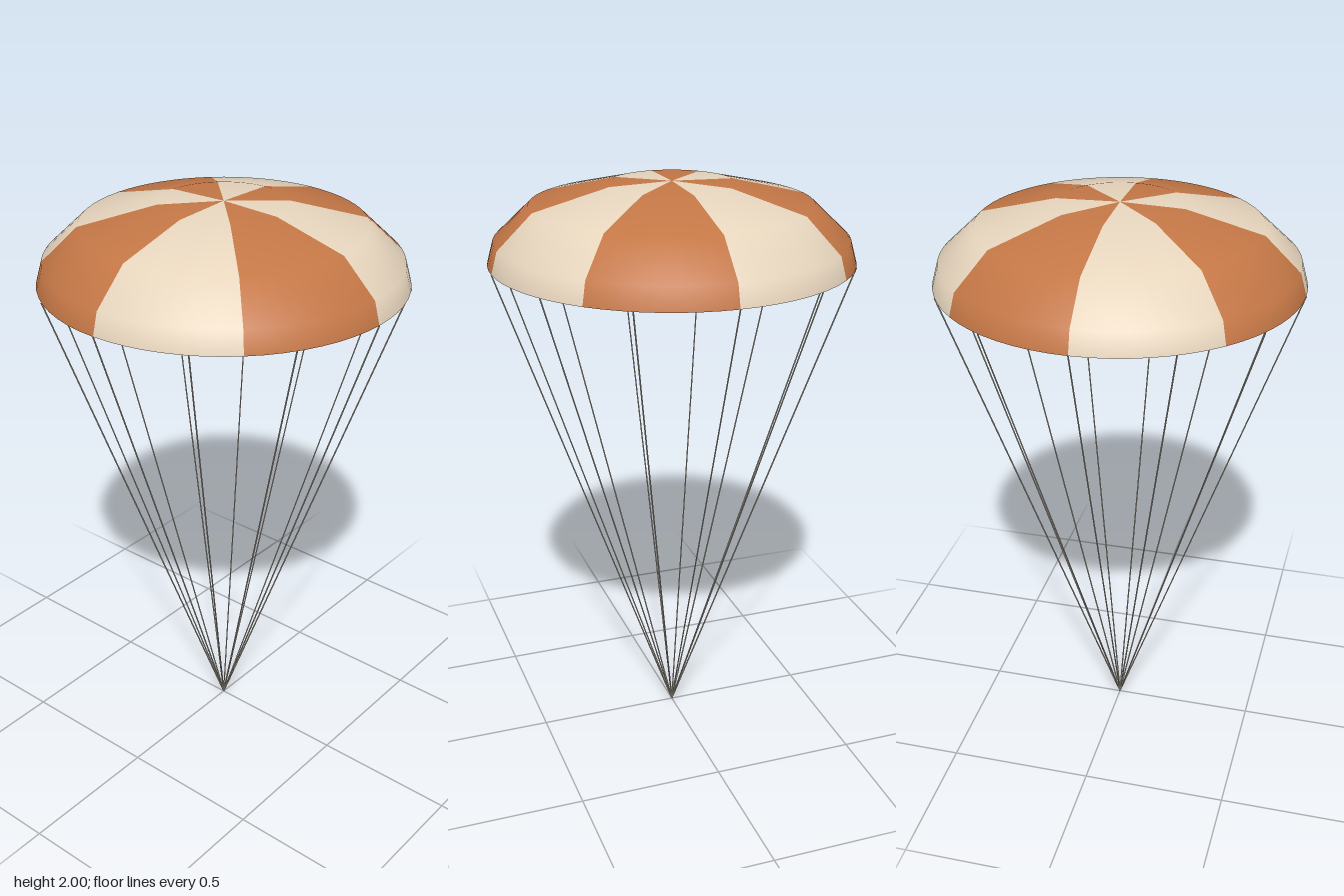
import * as THREE from 'three';

export function createModel() {
  const model = new THREE.Group();
  model.name = 'parachute';

  const material = (name, color) => {
    const m = new THREE.MeshStandardMaterial({ color, side: THREE.DoubleSide });
    m.name = name;
    return m;
  };
  const cream = material('cream cloth', 0xe8d6be);
  const orange = material('orange cloth', 0xc47746);
  const cord = material('pale cord', 0xcfc6b8);

  // Canopy: eight gores of one shallow dome, in alternating colours
  const rimRadius = 0.617, rimY = 1.737, gores = 8;
  const profile = [
    [rimRadius, rimY], [0.596, 1.813], [0.475, 1.928], [0.215, 1.994], [0, 2],
  ].map(([r, y]) => new THREE.Vector2(r, y));
  const canopy = new THREE.Group();
  canopy.name = 'canopy';
  const step = (Math.PI * 2) / gores;
  for (let i = 0; i < gores; i++) {
    const gore = new THREE.Mesh(
      new THREE.LatheGeometry(profile, 8, i * step, step),
      i % 2 ? orange : cream
    );
    gore.name = 'gore';
    canopy.add(gore);
  }
  model.add(canopy);

  // Suspension lines: twelve thin cords from the rim to one point below
  const lines = new THREE.Group();
  lines.name = 'suspensionLines';
  const bottom = new THREE.Vector3(0, 0, 0);
  for (let i = 0; i < 12; i++) {
    const a = (i * Math.PI) / 6;
    const top = new THREE.Vector3(Math.sin(a) * rimRadius, rimY, Math.cos(a) * rimRadius);
    const path = new THREE.LineCurve3(bottom, top);
    const line = new THREE.Mesh(new THREE.TubeGeometry(path, 1, 0.0025, 6), cord);
    line.name = 'suspensionLine';
    lines.add(line);
  }
  model.add(lines);

  return model;
}
